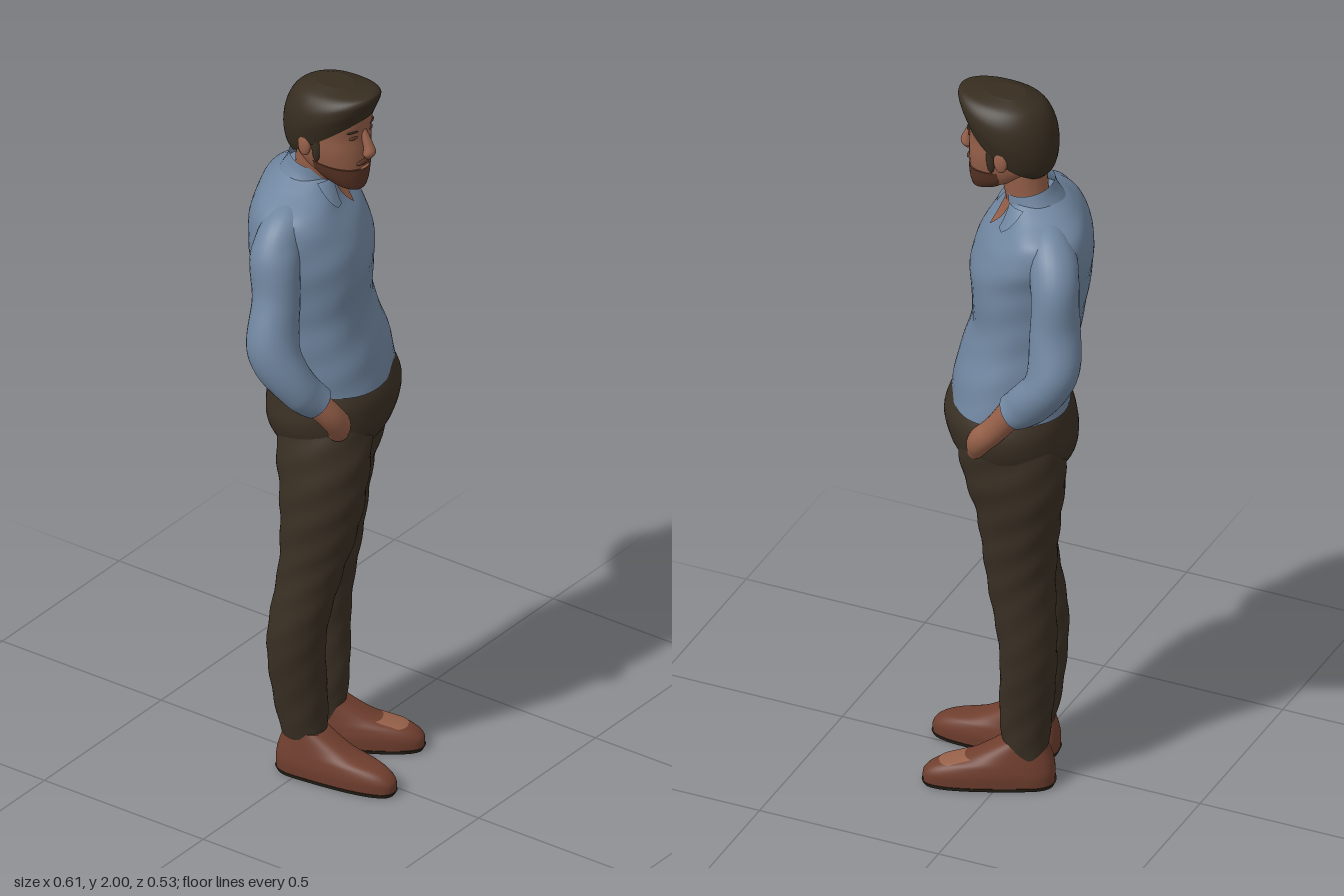
import * as THREE from 'three';

const paint = (name, color) => {
  const m = new THREE.MeshStandardMaterial({ color, side: THREE.DoubleSide });
  m.name = name;
  return m;
};

// smooth interpolation through rows of numbers
function sample(rows, t) {
  const n = rows.length - 1, i = Math.min(Math.floor(t), n - 1), k = t - i;
  const at = (r, c) => rows[Math.max(0, Math.min(n, r))][c] ?? 0;
  return Array.from({ length: 7 }, (_, c) => {
    const p0 = at(i - 1, c), p1 = at(i, c), p2 = at(i + 1, c), p3 = at(i + 2, c);
    return p1 + 0.5 * k * (p2 - p0 + k * (2 * p0 - 5 * p1 + 4 * p2 - p3 + k * (3 * (p1 - p2) + p3 - p0)));
  });
}

// point on a body of level rings [y, x, z, halfWidth, front, back, tilt], turned by yaw
function ringPoint(rows, yaw, t, th, pad = 0, fold = 0, square = 1) {
  const [y, x, z, a, f, b, tilt] = sample(rows, t);
  const c = Math.cos(th), s = Math.sin(th);
  const k = 1 + fold * Math.sin(3 * th + y * 38) * Math.sin(y * 23 + th);
  const lx = (a + pad) * k * Math.sign(c) * Math.abs(c) ** square;
  const lz = ((s > 0 ? f : b) + pad) * k * Math.sign(s) * Math.abs(s) ** square;
  return new THREE.Vector3(x + lx * Math.cos(yaw) + lz * Math.sin(yaw), y + tilt * lz,
    z - lx * Math.sin(yaw) + lz * Math.cos(yaw));
}

// surface grid from a point rule; closed grids wrap around and get end caps
function grid(rows, cols, rule, closed) {
  const pos = [], idx = [], w = closed ? cols : cols + 1;
  for (let i = 0; i <= rows; i++)
    for (let j = 0; j < w; j++) pos.push(...rule(i / rows, j / cols).toArray());
  for (let i = 0; i < rows; i++)
    for (let j = 0; j < cols; j++) {
      const a = i * w + j, b = i * w + (j + 1) % w;
      idx.push(a, a + w, b, b, a + w, b + w);
    }
  if (closed) for (const end of [0, 1]) {
    const start = pos.length / 3, mid = new THREE.Vector3();
    for (let j = 0; j < cols; j++) {
      const p = rule(end, j / cols);
      mid.addScaledVector(p, 1 / cols);
      pos.push(...p.toArray());
    }
    pos.push(...mid.toArray());
    for (let j = 0; j < cols; j++) {
      const a = start + j, b = start + (j + 1) % cols;
      idx.push(start + cols, ...(end ? [b, a] : [a, b]));
    }
  }
  const g = new THREE.BufferGeometry();
  g.setAttribute('position', new THREE.Float32BufferAttribute(pos, 3));
  g.setIndex(idx);
  g.computeVertexNormals();
  return g;
}

export function createModel() {
  const model = new THREE.Group();
  const shirt = paint('shirt blue', 0x7086a0), cloth = paint('trouser brown', 0x3a3024);
  const skin = paint('skin', 0x966049), hair = paint('hair brown', 0x372d20);
  const beard = paint('beard brown', 0x5a3426), leather = paint('shoe leather', 0x6f3e2e);
  const soleDark = paint('sole', 0x2b241b);

  const add = (name, geo, mat) => {
    const m = new THREE.Mesh(geo, mat);
    m.name = name;
    model.add(m);
    return m;
  };
  const loft = (name, mat, rows, yaw = 0, fold = 0, square = 1) =>
    add(name, grid((rows.length - 1) * 8, 48, (v, u) =>
      ringPoint(rows, yaw, v * (rows.length - 1), u * Math.PI * 2, 0, fold, square), true), mat);
  // thin panel lying on a lofted body; span(v) gives its start and end angle from the front
  const panel = (name, mat, rows, yaw, t0, t1, span, pad, square = 1) =>
    add(name, grid(10, 28, (v, u) => {
      const [s, e] = span(v);
      return ringPoint(rows, yaw, t0 + (t1 - t0) * v, Math.PI / 2 + s + (e - s) * u, pad, 0, square);
    }, false), mat);
  // limb through points [x, y, z, radius]
  const limb = (name, mat, pts, fold = 0) => {
    const curve = new THREE.CatmullRomCurve3(pts.map(p => new THREE.Vector3(...p)));
    const n = (pts.length - 1) * 8, fr = curve.computeFrenetFrames(n);
    return add(name, grid(n, 28, (v, u) => {
      const i = Math.round(v * n), th = u * Math.PI * 2;
      const r = sample(pts, v * (pts.length - 1))[3] * (1 + fold * Math.sin(2 * th + v * 20));
      return curve.getPoint(v).addScaledVector(fr.normals[i], r * Math.cos(th))
        .addScaledVector(fr.binormals[i], -r * Math.sin(th));
    }, true), mat);
  };
  const blob = (name, mat, x, y, z, sx, sy, sz) => {
    const m = add(name, new THREE.SphereGeometry(1, 20, 14), mat);
    m.position.set(x, y, z);
    m.scale.set(sx, sy, sz);
    return m;
  };

  // shirt body, turned toward the left
  const turn = 0.47, boxy = 0.82;
  const torso = [
    [1.14, 0.06, 0.0, 0.188, 0.152, 0.152], [1.22, 0.05, -0.005, 0.186, 0.146, 0.15],
    [1.35, 0.03, -0.02, 0.183, 0.13, 0.148], [1.5, 0.01, -0.045, 0.198, 0.165, 0.142],
    [1.59, 0.01, -0.06, 0.205, 0.15, 0.134], [1.655, 0.012, -0.065, 0.19, 0.108, 0.112],
    [1.695, 0.02, -0.06, 0.12, 0.08, 0.088], [1.72, 0.025, -0.05, 0.072, 0.06, 0.066]];
  loft('shirt', shirt, torso, turn, 0.012, boxy);
  panel('openNeck', skin, torso, turn, 4.5, 6.6, v => [-0.3 * v, 0.3 * v], 0.004, boxy);
  const collar = [[1.695, 0.022, -0.053, 0.088, 0.075, 0.075, -0.2], [1.725, 0.025, -0.046, 0.075, 0.068, 0.064, -0.25],
    [1.75, 0.025, -0.043, 0.068, 0.066, 0.058, -0.3]];
  panel('collar', shirt, collar, turn, 0, 2, () => [0.35, Math.PI * 2 - 0.35], 0);
  for (const s of [-1, 1])
    panel('collarFlap', shirt, torso, turn, 5, 6.7, v => [s * (0.25 + 0.1 * v), s * (0.4 + 0.75 * v)], 0.008, boxy);

  // sleeves, forearms and hands in the pockets
  limb('rightSleeve', shirt, [[-0.05, 1.645, -0.03, 0.04], [-0.12, 1.63, -0.018, 0.056], [-0.178, 1.575, -0.008, 0.063],
    [-0.198, 1.45, 0.008, 0.064], [-0.235, 1.31, 0.03, 0.066], [-0.2, 1.205, 0.09, 0.054],
    [-0.165, 1.165, 0.115, 0.045]], 0.03);
  limb('rightForearm', skin, [[-0.18, 1.18, 0.105, 0.036], [-0.14, 1.12, 0.138, 0.034],
    [-0.112, 1.085, 0.138, 0.034], [-0.085, 1.045, 0.12, 0.028]]);
  limb('leftSleeve', shirt, [[0.06, 1.65, -0.09, 0.04], [0.13, 1.635, -0.145, 0.056], [0.178, 1.58, -0.175, 0.063],
    [0.2, 1.45, -0.188, 0.064], [0.237, 1.32, -0.194, 0.066], [0.246, 1.24, -0.14, 0.058],
    [0.248, 1.2, -0.09, 0.048]], 0.03);
  limb('leftForearm', skin, [[0.25, 1.215, -0.1, 0.038], [0.25, 1.14, -0.045, 0.034],
    [0.246, 1.09, 0, 0.034], [0.218, 1.04, 0.02, 0.028]]);

  // trousers
  loft('trouserSeat', cloth, [
    [0.86, 0.035, 0, 0.03, 0.03, 0.04], [0.91, 0.04, -0.005, 0.09, 0.08, 0.1],
    [0.97, 0.05, -0.005, 0.165, 0.135, 0.15],
    [1.03, 0.057, -0.003, 0.198, 0.163, 0.168], [1.1, 0.063, 0, 0.202, 0.168, 0.164],
    [1.155, 0.06, 0, 0.182, 0.148, 0.148]], turn, 0.008);
  loft('rightTrouserLeg', cloth, [
    [0.09, -0.055, -0.002, 0.054, 0.056, 0.06], [0.2, -0.066, -0.01, 0.063, 0.068, 0.07],
    [0.4, -0.09, -0.005, 0.069, 0.075, 0.08], [0.6, -0.077, 0.028, 0.075, 0.082, 0.085],
    [0.7, -0.065, 0.045, 0.085, 0.092, 0.1], [0.82, -0.055, 0.05, 0.095, 0.112, 0.115],
    [0.95, -0.038, 0.045, 0.105, 0.122, 0.13], [1.07, -0.02, 0.04, 0.1, 0.11, 0.11]], 0.2, 0.035);
  loft('leftTrouserLeg', cloth, [
    [0.09, 0.085, -0.052, 0.054, 0.056, 0.056], [0.2, 0.09, -0.055, 0.061, 0.066, 0.066],
    [0.4, 0.108, -0.07, 0.071, 0.075, 0.075], [0.6, 0.115, -0.055, 0.083, 0.085, 0.085],
    [0.7, 0.115, -0.055, 0.092, 0.098, 0.09], [0.82, 0.12, -0.06, 0.1, 0.12, 0.1],
    [0.95, 0.13, -0.06, 0.11, 0.15, 0.115], [1.07, 0.135, -0.05, 0.11, 0.15, 0.11]], 0.35, 0.035);

  // shoes
  const shoe = (x, z) => [
    [0.01, x, z, 0.058, 0.258, 0.078], [0.04, x, z, 0.06, 0.255, 0.079], [0.065, x, z, 0.057, 0.22, 0.076],
    [0.088, x, z, 0.053, 0.135, 0.07], [0.13, x, z, 0.045, 0.055, 0.055]];
  for (const [side, x, z, yaw] of [['right', -0.062, 0.005, 0.1], ['left', 0.088, -0.05, 0.45]]) {
    loft(side + 'Shoe', leather, shoe(x, z), yaw, 0, 0.75);
    loft(side + 'Sole', soleDark, [[0, x, z, 0.055, 0.255, 0.076], [0.011, x, z, 0.06, 0.261, 0.081]], yaw, 0, 0.75);
  }
  panel('leftInstep', skin, shoe(0.088, -0.05), 0.45, 2.1, 2.85, () => [-0.5, 0.5], 0.003, 0.75);

  // neck and head
  limb('neck', skin, [[0.026, 1.63, -0.045, 0.056], [0.024, 1.72, -0.028, 0.056], [0.022, 1.82, -0.012, 0.062]]);
  loft('head', skin, [
    [1.735, 0.02, 0.05, 0.035, 0.045, 0.04, -0.3], [1.75, 0.02, 0.035, 0.058, 0.08, 0.06, -0.25],
    [1.785, 0.02, 0.02, 0.077, 0.106, 0.08, -0.1], [1.825, 0.02, 0.02, 0.088, 0.108, 0.098],
    [1.87, 0.02, 0.02, 0.091, 0.106, 0.108], [1.92, 0.02, 0.02, 0.094, 0.11, 0.11],
    [1.96, 0.02, 0.02, 0.075, 0.1, 0.085]], 0, 0, 0.95);
  loft('hair', hair, [
    [1.845, 0.02, 0.02, 0.094, 0.113, 0.098, 0.68], [1.872, 0.02, 0.02, 0.101, 0.122, 0.118, 0.58],
    [1.91, 0.02, 0.02, 0.107, 0.132, 0.127, 0.42],
    [1.95, 0.02, 0.02, 0.1, 0.139, 0.119, 0.25], [1.981, 0.02, 0.02, 0.077, 0.128, 0.092, 0.11],
    [1.998, 0.02, 0.02, 0.038, 0.07, 0.04, 0.02]], 0, 0, 0.98);
  loft('beard', beard, [
    [1.723, 0.02, 0.06, 0.03, 0.038, 0.03, -0.35], [1.738, 0.02, 0.045, 0.052, 0.074, 0.03, -0.35],
    [1.765, 0.02, 0.03, 0.071, 0.097, 0.03, -0.25], [1.797, 0.02, 0.025, 0.082, 0.104, 0.03, -0.2]], 0, 0, 0.95);
  blob('moustache', beard, 0.02, 1.795, 0.126, 0.032, 0.008, 0.008);
  blob('mouth', skin, 0.02, 1.777, 0.127, 0.018, 0.004, 0.005);
  limb('nose', skin, [[0.02, 1.885, 0.118, 0.01], [0.02, 1.845, 0.137, 0.013], [0.02, 1.82, 0.141, 0.017],
    [0.02, 1.808, 0.132, 0.008]]);
  for (const s of [-1, 1]) {
    blob('ear', skin, 0.02 + s * 0.094, 1.845, 0.005, 0.01, 0.032, 0.019);
    blob('sideburn', hair, 0.02 + s * 0.085, 1.845, 0.036, 0.009, 0.045, 0.013);
    blob('eyebrow', hair, 0.02 + s * 0.04, 1.892, 0.118, 0.018, 0.003, 0.005).rotation.y = s * 0.35;
    blob('eye', beard, 0.02 + s * 0.037, 1.873, 0.118, 0.013, 0.005, 0.004).rotation.y = s * 0.35;
  }
  return model;
}
